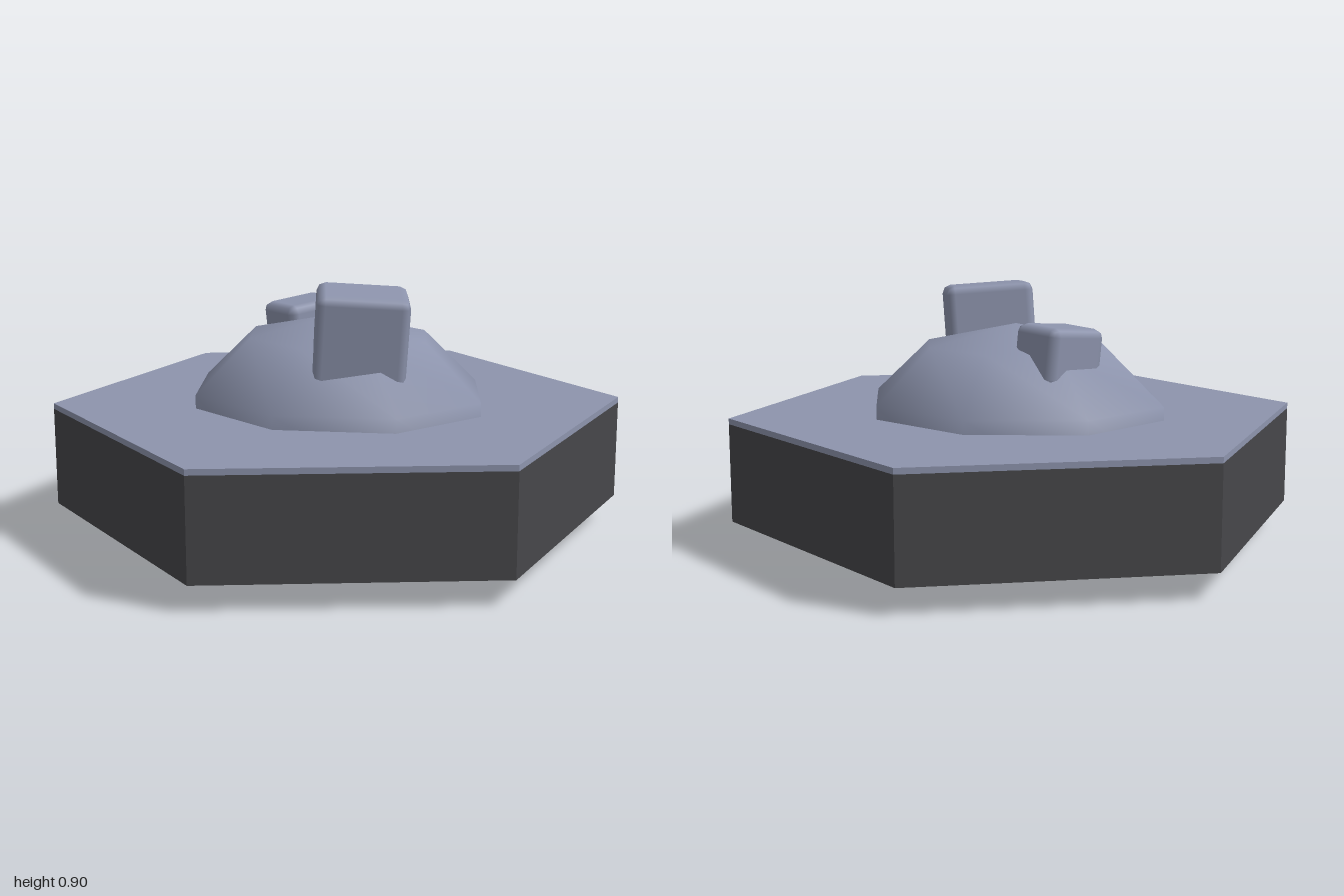
import * as THREE from 'three';
import { RoundedBoxGeometry } from 'three/addons/geometries/RoundedBoxGeometry.js';

export function createModel() {
  const model = new THREE.Group();
  model.name = 'hexTile';

  const stone = new THREE.MeshStandardMaterial({ color: 0x8d94ad });
  stone.name = 'blue grey stone';
  const dark = new THREE.MeshStandardMaterial({ color: 0x47474a });
  dark.name = 'dark base';

  function add(name, geometry, material, x, y, z) {
    const mesh = new THREE.Mesh(geometry, material);
    mesh.name = name;
    mesh.position.set(x, y, z);
    model.add(mesh);
    return mesh;
  }

  // Hexagonal slab with crisp side faces, from height y0 to y1
  function hexSlab(name, material, y0, y1) {
    const geometry = new THREE.CylinderGeometry(1, 1, y1 - y0, 6).toNonIndexed();
    geometry.computeVertexNormals();
    return add(name, geometry, material, 0, (y0 + y1) / 2, 0);
  }
  hexSlab('base', dark, 0.09, 0.435);
  hexSlab('topPlate', stone, 0.435, 0.455);

  // Coarse boulder whose tip pokes out below the base
  const boulder = new THREE.SphereGeometry(1, 8, 5);
  boulder.scale(0.568, 0.383, 0.5);
  add('boulder', boulder, stone, 0, 0.383, 0);

  // Bevelled rocks: turned about y, then tilted slightly
  function rock(name, size, position, turn, tiltX, tiltZ) {
    const mesh = add(name, new RoundedBoxGeometry(...size, 1, 0.03), stone, ...position);
    const rad = THREE.MathUtils.degToRad;
    mesh.rotation.set(rad(tiltX), rad(turn), rad(tiltZ), 'XZY');
  }
  rock('largeRock', [0.31, 0.34, 0.255], [0.17, 0.715, 0.172], 28, 2, -5);
  rock('smallRock', [0.2, 0.2, 0.235], [-0.208, 0.682, -0.145], -28, 4, 4);

  return model;
}
